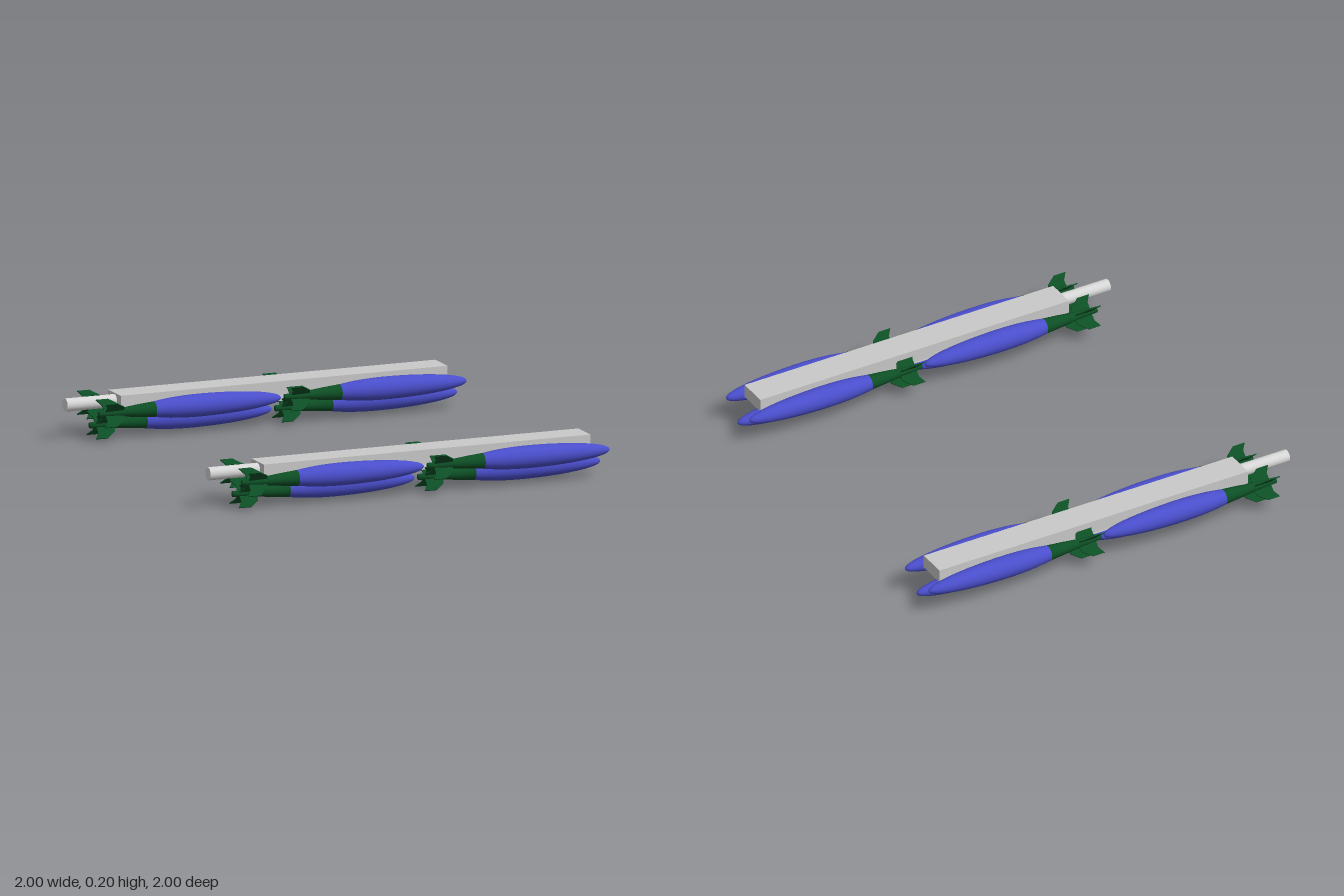
import * as THREE from 'three';

const mat = (name, color, side = THREE.FrontSide) => {
  const m = new THREE.MeshStandardMaterial({ color, side });
  m.name = name;
  return m;
};

export function createModel() {
  const blue = mat('casing blue', 0x4a4ecb);
  const green = mat('tail green', 0x0d4f25);
  const grey = mat('rack grey', 0xc9c9c9);
  const paleGrey = mat('spigot pale grey', 0xd6d6d6);

  const add = (parent, name, geometry, material, x = 0, y = 0, z = 0) => {
    const m = new THREE.Mesh(geometry, material);
    m.name = name;
    m.position.set(x, y, z);
    parent.add(m);
    return m;
  };

  // Smooth body of revolution along +x from [x, radius] pairs
  const turned = (pairs) =>
    new THREE.LatheGeometry(pairs.map(([x, r]) => new THREE.Vector2(r, x)), 32).rotateZ(-Math.PI / 2);

  // Casing: sampled spline from the tail joint to the rounded nose (x from the tail end)
  const casingCurve = new THREE.SplineCurve([
    [0.281, 0.037], [0.36, 0.047], [0.45, 0.0525], [0.54, 0.0535], [0.64, 0.051],
    [0.74, 0.045], [0.83, 0.035], [0.89, 0.023], [0.918, 0.012], [0.928, 0],
  ].map(([x, r]) => new THREE.Vector2(x, r)));
  const casingGeo = turned(casingCurve.getPoints(36).map((p) => [p.x, Math.max(p.y, 0)]));
  const tailGeo = turned([[0, 0], [0, 0.014], [0.04, 0.016], [0.11, 0.02], [0.2, 0.03], [0.281, 0.037]]);
  const tailSmooth = tailGeo.toNonIndexed();
  tailSmooth.setAttribute('normal', tailGeo.toNonIndexed().getAttribute('normal'));

  // Swept tail fin, extruded thin and centred on its plane
  const finShape = new THREE.Shape([
    [0.03, 0.008], [0.03, 0.045], [0.008, 0.079], [0.07, 0.079], [0.115, 0.045], [0.125, 0.012],
  ].map(([x, r]) => new THREE.Vector2(x, r)));
  const finGeo = new THREE.ExtrudeGeometry(finShape, { depth: 0.005, bevelEnabled: false });
  finGeo.translate(0, 0, -0.0025);

  const makeStore = () => {
    const g = new THREE.Group();
    g.name = 'finnedStore';
    add(g, 'casing', casingGeo, blue);
    add(g, 'tailCone', tailSmooth, green);
    for (let i = 0; i < 4; i++) {
      add(g, 'tailFin', finGeo, green).rotation.x = Math.PI / 4 + (i * Math.PI) / 2;
    }
    return g;
  };

  // One rack with two rows of three stores: left, right and below
  const makeRack = () => {
    const g = new THREE.Group();
    g.name = 'rack';
    add(g, 'beam', new THREE.BoxGeometry(1.666, 0.066, 0.147), grey, 0.085, 0.17, 0);
    add(g, 'lowerRail', new THREE.BoxGeometry(1.6, 0.04, 0.068), paleGrey, 0.08, 0.119, 0);
    const rod = new THREE.CylinderGeometry(0.031, 0.031, 0.27, 24).rotateZ(Math.PI / 2);
    add(g, 'rearSpigot', rod, paleGrey, -0.865, 0.166, 0);
    for (const x of [-0.875, 0.071]) {
      for (const [y, z] of [[0.133, 0.109], [0.133, -0.109], [0.058, 0]]) {
        const store = makeStore();
        store.position.set(x, y, z);
        g.add(store);
      }
    }
    return g;
  };

  const model = new THREE.Group();
  model.name = 'storeRacks';
  for (const side of [1, -1]) {
    const rack = makeRack();
    rack.name = side > 0 ? 'frontRack' : 'backRack';
    rack.position.z = side * 0.833;
    model.add(rack);
  }
  return model;
}
